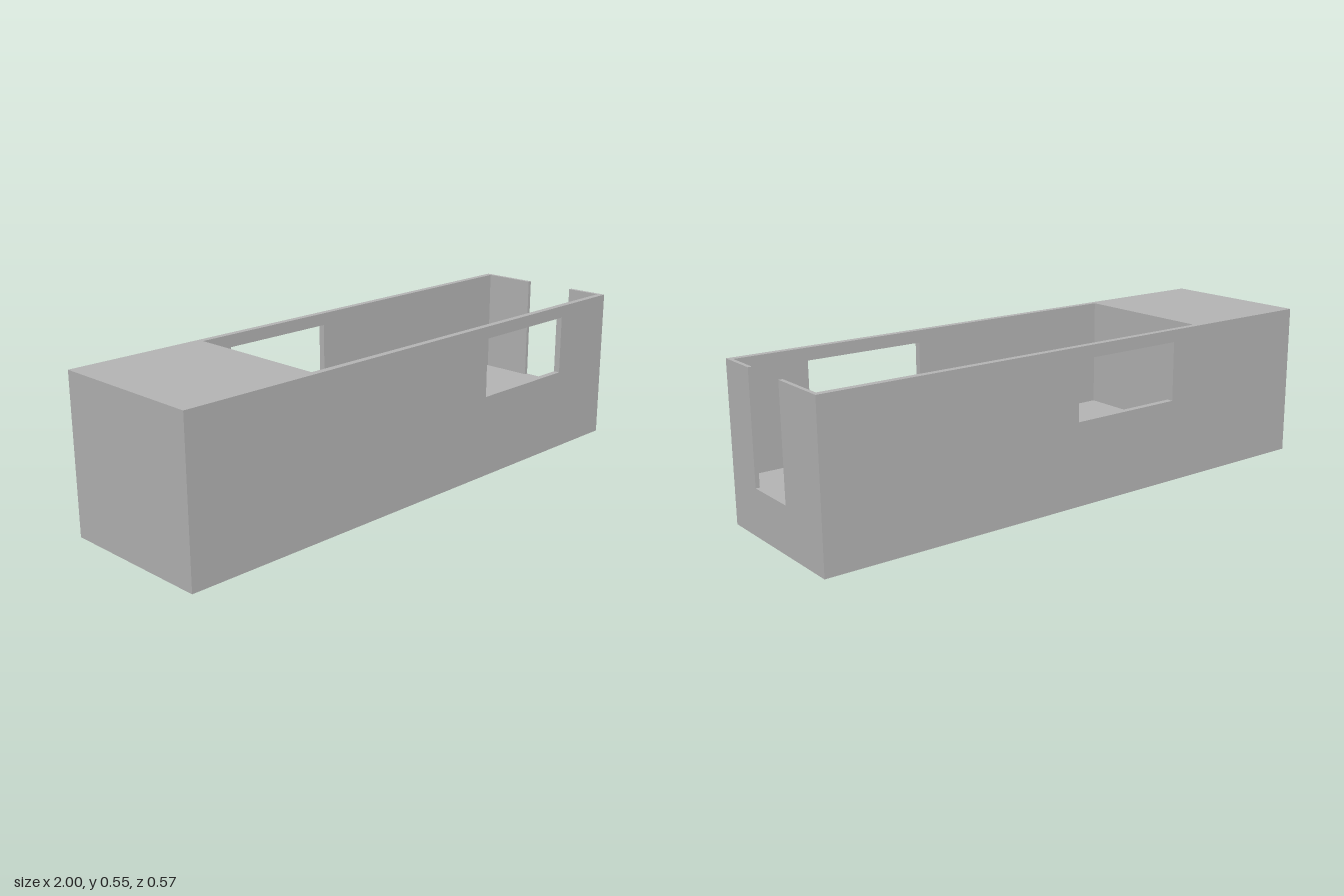
import * as THREE from 'three';

const L = 1, H = 0.548, W = 0.283;       // half length, height, half width
const SIDE = 0.023, END = 0.014;         // wall thicknesses
const FLOOR = 0.163, BLOCK_X = -0.505;   // floor height, inner face of the solid end
const IN = W - SIDE;                     // inner half width

export function createModel() {
  const group = new THREE.Group();
  const grey = new THREE.MeshStandardMaterial({ color: 0xb2b2b2 });
  grey.name = 'plain grey';

  const add = (name, geometry) => {
    const mesh = new THREE.Mesh(geometry, grey);
    mesh.name = name;
    group.add(mesh);
    return mesh;
  };
  const polygon = (points) => new THREE.Shape(points.map(([x, y]) => new THREE.Vector2(x, y)));
  const extrude = (shape, depth) => new THREE.ExtrudeGeometry(shape, { depth, bevelEnabled: false });
  const box = (name, x0, x1, y0, y1) =>
    add(name, new THREE.BoxGeometry(x1 - x0, y1 - y0, IN * 2))
      .position.set((x0 + x1) / 2, (y0 + y1) / 2, 0);

  // Long side walls, each with one window opening
  const sideWall = (name, x0, x1, z) => {
    const shape = polygon([[-L, 0], [L, 0], [L, H], [-L, H]]);
    shape.holes.push(polygon([[x0, 0.295], [x0, 0.505], [x1, 0.505], [x1, 0.295]]));
    add(name, extrude(shape, SIDE)).position.z = z;
  };
  sideWall('frontWall', 0.3, 0.73, IN);
  sideWall('backWall', -0.39, 0.04, -W);

  // Raised floor and the solid block at the right end
  box('floor', BLOCK_X, L - END, 0, FLOOR);
  box('solidEnd', -L, BLOCK_X, 0, H);

  // Left end wall with an open-topped doorway (profile x runs along -z)
  const doorWall = add('doorWall', extrude(polygon([
    [-IN, 0], [IN, 0], [IN, H], [0.065, H], [0.065, FLOOR],
    [-0.131, FLOOR], [-0.131, H], [-IN, H],
  ]), END));
  doorWall.rotation.y = Math.PI / 2;
  doorWall.position.x = L - END;

  return group;
}
